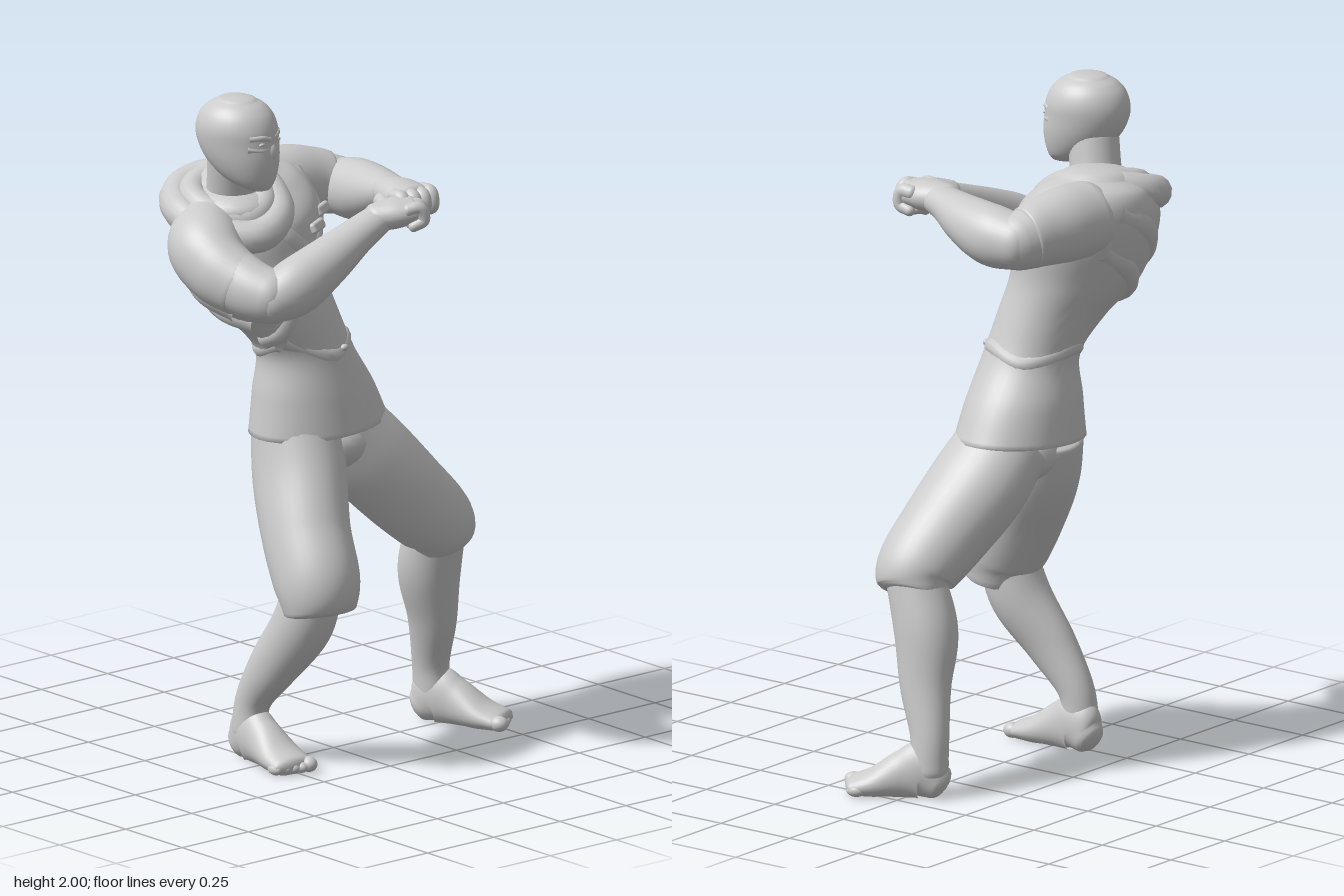
import * as THREE from 'three';
import { RoundedBoxGeometry } from 'three/addons/geometries/RoundedBoxGeometry.js';

const mat = new THREE.MeshStandardMaterial({ color: 0xcccccc, roughness: 0.8 });
const V = (x, y, z) => new THREE.Vector3(x, y, z);
const RING = 36;

function add(parent, name, geo) {
  const m = new THREE.Mesh(geo, mat);
  m.name = name;
  parent.add(m);
  return m;
}

// Closed skin over rings { c, u, v }, with rounded ends of height cap0 and cap1.
function skin(rings, cap0, cap1, floor = false) {
  const all = [];
  const first = rings[0], last = rings[rings.length - 1];
  const axis = r => V().crossVectors(r.u, r.v).normalize();
  const capRing = (r, k, h) => {
    const a = k * Math.PI / 2;
    const s = Math.max(Math.cos(a), 0.002);
    return { c: r.c.clone().addScaledVector(axis(r), h * Math.sin(a)), u: r.u.clone().multiplyScalar(s), v: r.v.clone().multiplyScalar(s) };
  };
  for (let k = 5; k > 0; k--) all.push(capRing(first, k / 5, -cap0));
  all.push(...rings);
  for (let k = 1; k <= 5; k++) all.push(capRing(last, k / 5, cap1));
  const pos = [], idx = [];
  all.forEach((r, i) => {
    for (let j = 0; j < RING; j++) {
      const a = j / RING * Math.PI * 2;
      const p = r.c.clone().addScaledVector(r.u, Math.cos(a)).addScaledVector(r.v, Math.sin(a));
      pos.push(p.x, floor ? Math.max(0, p.y) : p.y, p.z);
      if (i === all.length - 1) continue;
      const q = i * RING + j, n = i * RING + (j + 1) % RING;
      idx.push(q, n, n + RING, q, n + RING, q + RING);
    }
  });
  const g = new THREE.BufferGeometry();
  g.setAttribute('position', new THREE.Float32BufferAttribute(pos, 3));
  g.setIndex(idx);
  g.computeVertexNormals();
  return g;
}

const curve = pts => new THREE.CatmullRomCurve3(pts, false, 'catmullrom', 0.5);

// Limb through points [x, y, z, radius across, radius along ref].
function limb(pts, ref = V(0, 0, 1), cap0 = 0.04, cap1 = 0.04, floor = false) {
  const path = curve(pts.map(p => V(p[0], p[1], p[2])));
  const size = curve(pts.map(p => V(p[3], p[4], 0)));
  const rings = [], n = (pts.length - 1) * 7;
  for (let i = 0; i <= n; i++) {
    const t = path.getTangent(i / n), s = size.getPoint(i / n);
    const v = ref.clone().addScaledVector(t, -ref.dot(t)).normalize();
    const u = V().crossVectors(v, t).multiplyScalar(s.x);
    rings.push({ c: path.getPoint(i / n), u, v: v.multiplyScalar(s.y) });
  }
  return skin(rings, cap0, cap1, floor);
}

function tube(pts, r, closed = false) {
  return new THREE.TubeGeometry(new THREE.CatmullRomCurve3(pts, closed), pts.length * 8, r, 14, closed);
}

function ball(parent, name, p, s) {
  const m = add(parent, name, new THREE.SphereGeometry(1, 24, 16));
  m.position.set(...p);
  m.scale.set(...s);
  return m;
}

// Tunic sections: x, y, z, half width, half depth, yaw, roll.
const TORSO = [
  [-0.035, 0.975, -0.03, 0.22, 0.17, 0, 0.06],
  [-0.055, 1.09, -0.03, 0.187, 0.157, 0.03, 0.03],
  [-0.087, 1.21, -0.03, 0.147, 0.138, 0.1, 0],
  [-0.147, 1.32, -0.055, 0.168, 0.153, 0.2, 0.05],
  [-0.205, 1.42, -0.092, 0.21, 0.182, 0.3, 0.1],
  [-0.213, 1.53, -0.122, 0.23, 0.2, 0.35, 0.13],
  [-0.213, 1.63, -0.142, 0.23, 0.202, 0.38, 0.14],
  [-0.21, 1.7, -0.165, 0.185, 0.16, 0.38, 0.14],
  [-0.225, 1.735, -0.165, 0.12, 0.105, 0.38, 0.12],
];
const column = (a, b, c) => curve(TORSO.map(s => V(s[a], s[b], s[c])));
const spine = column(0, 1, 2), girth = column(3, 4, 5), lean = column(6, 6, 6);

function torsoRing(t, lift = 0) {
  const g = girth.getPoint(t), roll = lean.getPoint(t).x;
  const u = V(Math.cos(g.z) * Math.cos(roll), Math.sin(roll), -Math.sin(g.z) * Math.cos(roll)).multiplyScalar(g.x + lift);
  return { c: spine.getPoint(t), u, v: V(-Math.sin(g.z), 0, -Math.cos(g.z)).multiplyScalar(g.y + lift) };
}

// Point on the tunic, lifted off it: angle -PI/2 is the front, 0 the left side.
function onTorso(a, t, lift) {
  const r = torsoRing(t, lift);
  return r.c.addScaledVector(r.u, Math.cos(a)).addScaledVector(r.v, Math.sin(a));
}

function buildTorso(root) {
  const g = new THREE.Group();
  g.name = 'torso';
  root.add(g);
  add(g, 'tunic', skin(Array.from({ length: 65 }, (_, i) => torsoRing(i / 64)), 0.01, 0.03));
  ball(g, 'pelvis', [-0.012, 0.93, -0.015], [0.13, 0.093, 0.14]);
  // Wrapped cloth folds: radius, then [angle, height along the torso]
  const folds = [
    [0.035, [-0.5, 0.82], [-0.95, 0.7], [-1.45, 0.58], [-1.95, 0.46], [-2.5, 0.36], [-3.1, 0.32]],
    [0.035, [-2.3, 0.82], [-1.95, 0.7], [-1.6, 0.62], [-1.2, 0.57]],
    [0.045, [0.7, 0.78], [1.3, 0.72], [1.9, 0.62], [2.6, 0.52], [3.3, 0.46]],
    [0.04, [0.6, 0.64], [1.2, 0.57], [1.9, 0.48], [2.7, 0.43], [3.4, 0.4]],
    [0.03, [-2.6, 0.32], [-1.6, 0.25], [-0.6, 0.28], [0.4, 0.25], [1.5, 0.29], [2.6, 0.26], [3.6, 0.31]],
  ];
  for (const [r, ...p] of folds) add(g, 'clothFold', tube(p.map(q => onTorso(q[0], q[1], -r * 0.82)), r));
  ball(g, 'sashKnot', onTorso(-1.35, 0.27, 0.004).toArray(), [0.013, 0.01, 0.01]);
  for (const [a, t] of [[-1.05, 0.71], [-1.4, 0.69]]) {
    const clasp = add(g, 'chestClasp', new RoundedBoxGeometry(0.075, 0.032, 0.02, 3, 0.009));
    clasp.position.copy(onTorso(a, t, 0.006));
    clasp.rotation.set(-0.5, 0.4, 0.25);
  }
  // Cowl lying around the neck
  const cowl = [[-0.43, 1.64, -0.16], [-0.38, 1.665, -0.25], [-0.3, 1.69, -0.28], [-0.22, 1.71, -0.23],
    [-0.18, 1.71, -0.12], [-0.22, 1.64, 0.01], [-0.32, 1.6, 0.04], [-0.41, 1.61, -0.05]].map(p => V(...p));
  add(g, 'cowlOuter', tube(cowl, 0.05, true));
  const mid = V(-0.3, 1.66, -0.11);
  add(g, 'cowlInner', tube(cowl.map(p => p.clone().lerp(mid, 0.3).add(V(0, 0.025, 0))), 0.042, true));
  ball(g, 'cowlCentre', [-0.3, 1.66, -0.12], [0.12, 0.06, 0.15]);
  add(g, 'neck', limb([[-0.28, 1.6, -0.14, 0.085, 0.085], [-0.295, 1.7, -0.105, 0.075, 0.075], [-0.315, 1.82, -0.075, 0.075, 0.075]]));
}

function buildHead(root) {
  const h = new THREE.Group();
  h.name = 'head';
  h.position.set(-0.32, 0, -0.05);
  h.rotation.y = 0.25;
  root.add(h);
  // Level sections: height, z, half width, half depth
  const shape = [[1.738, 0.068, 0.036, 0.042], [1.757, 0.048, 0.061, 0.071], [1.79, 0.028, 0.081, 0.099], [1.83, 0.012, 0.095, 0.118], [1.875, 0, 0.103, 0.126],
    [1.915, -0.003, 0.105, 0.124], [1.95, -0.004, 0.095, 0.11], [1.975, -0.004, 0.076, 0.086], [1.99, -0.004, 0.052, 0.058]];
  const place = curve(shape.map(s => V(0, s[0], s[1]))), size = curve(shape.map(s => V(s[2], 0, s[3])));
  add(h, 'hoodedHead', skin(Array.from({ length: 41 }, (_, i) => {
    const s = size.getPoint(i / 40);
    return { c: place.getPoint(i / 40), u: V(s.x, 0, 0), v: V(0, 0, -s.z) };
  }), 0.008, 0.01));
  ball(h, 'nose', [0, 1.85, 0.112], [0.022, 0.032, 0.022]);
  for (const s of [-1, 1]) {
    ball(h, 'eye', [s * 0.036, 1.88, 0.113], [0.015, 0.006, 0.007]);
    add(h, 'brow', tube([V(s * 0.01, 1.891, 0.118), V(s * 0.038, 1.899, 0.11), V(s * 0.068, 1.898, 0.088)], 0.009));
    add(h, 'maskEdge', tube([V(0, 1.866, 0.12), V(s * 0.035, 1.862, 0.111), V(s * 0.072, 1.867, 0.084)], 0.009));
  }
}

// Fist pointing along dir with the palm down; side puts the thumb.
function buildFist(root, name, at, dir, side, scale) {
  const f = new THREE.Group();
  f.name = name;
  f.position.copy(at);
  f.lookAt(at.clone().add(dir));
  f.scale.setScalar(scale);
  root.add(f);
  add(f, 'palm', limb([[0, 0, -0.05, 0.042, 0.036], [0, 0, 0, 0.055, 0.04], [0, 0, 0.045, 0.058, 0.034]], V(0, 1, 0), 0.03, 0.02));
  for (let i = 0; i < 4; i++) {
    const x = (i - 1.5) * 0.029, b = 0.006 * Math.abs(i - 1.5);
    add(f, 'finger', limb([[x, 0.012, 0.025, 0.017, 0.017], [x, 0.01, 0.066 - b, 0.018, 0.018], [x, -0.022, 0.072 - b, 0.017, 0.017],
      [x, -0.034, 0.035, 0.014, 0.014]], V(1, 0, 0), 0.012, 0.014));
  }
  add(f, 'thumb', limb([[side * 0.045, -0.01, -0.02, 0.02, 0.02], [side * 0.06, -0.018, 0.025, 0.018, 0.018], [side * 0.03, -0.036, 0.058, 0.015, 0.015]], V(0, 1, 0), 0.015, 0.015));
}

function buildArms(root) {
  const up = V(0, 1, 0);
  // Right arm
  add(root, 'rightSleeve', limb([[-0.37, 1.6, -0.12, 0.1, 0.1], [-0.44, 1.568, -0.05, 0.11, 0.112], [-0.46, 1.525, 0.03, 0.095, 0.105],
    [-0.443, 1.487, 0.12, 0.082, 0.092]], up, 0.07, 0.012));
  add(root, 'rightUpperArm', limb([[-0.46, 1.525, 0.03, 0.087, 0.097], [-0.437, 1.485, 0.14, 0.08, 0.089], [-0.41, 1.47, 0.205, 0.076, 0.08]], up, 0.05, 0.06));
  add(root, 'rightForearm', limb([[-0.42, 1.458, 0.205, 0.07, 0.068], [-0.34, 1.495, 0.232, 0.078, 0.085], [-0.23, 1.55, 0.24, 0.07, 0.072],
    [-0.12, 1.605, 0.24, 0.057, 0.053], [-0.04, 1.64, 0.24, 0.05, 0.043]], up, 0.05, 0.03));
  buildFist(root, 'rightFist', V(0.005, 1.657, 0.262), V(0.88, 0.16, 0.42), 1, 1.12);
  // Left arm
  add(root, 'leftSleeve', limb([[-0.09, 1.645, -0.22, 0.11, 0.11], [0.0, 1.645, -0.212, 0.103, 0.11], [0.08, 1.637, -0.195, 0.088, 0.1], [0.125, 1.628, -0.18, 0.083, 0.092]], up, 0.07, 0.012));
  add(root, 'leftUpperArm', limb([[0.03, 1.64, -0.205, 0.085, 0.092], [0.1, 1.63, -0.188, 0.082, 0.092], [0.15, 1.62, -0.165, 0.08, 0.085]], up, 0.04, 0.07));
  add(root, 'leftForearm', limb([[0.152, 1.618, -0.175, 0.078, 0.08], [0.155, 1.625, -0.08, 0.085, 0.09], [0.137, 1.645, 0.02, 0.077, 0.075],
    [0.112, 1.668, 0.11, 0.06, 0.053], [0.095, 1.678, 0.17, 0.054, 0.044]], up, 0.06, 0.03));
  buildFist(root, 'leftFist', V(0.088, 1.68, 0.195), V(-0.02, 0, 1), -1, 1.2);
}

function buildFoot(root, name, x, z, yaw, side) {
  const f = new THREE.Group();
  f.name = name;
  f.position.set(x, 0, z);
  f.rotation.y = yaw;
  root.add(f);
  add(f, 'footBody', limb([[0, 0.042, -0.03, 0.047, 0.055], [0, 0.07, 0.012, 0.053, 0.092], [0, 0.06, 0.07, 0.056, 0.072],
    [0, 0.034, 0.15, 0.068, 0.045], [0, 0.022, 0.212, 0.068, 0.03]], V(0, 1, 0), 0.03, 0.022, true));
  for (let i = 0; i < 5; i++) {
    const r = i ? 0.018 : 0.023;
    ball(f, 'toe', [side * (-0.045 + i * 0.0245), r, 0.226 - i * 0.007], [r * 1.05, r, 0.028]);
  }
}

function buildLegs(root) {
  const z = V(0, 0, 1);
  // Breeches gathered below the knee
  add(root, 'rightBreeches', limb([[-0.115, 0.98, -0.03, 0.125, 0.14], [-0.138, 0.85, 0.01, 0.126, 0.148], [-0.178, 0.7, 0.085, 0.123, 0.137],
    [-0.2, 0.57, 0.16, 0.122, 0.13], [-0.203, 0.485, 0.178, 0.108, 0.1]], z, 0.02, 0.015));
  add(root, 'leftBreeches', limb([[0.025, 0.975, -0.025, 0.12, 0.14], [0.12, 0.86, 0, 0.132, 0.15], [0.225, 0.74, 0.04, 0.127, 0.138],
    [0.32, 0.64, 0.068, 0.114, 0.122], [0.353, 0.58, 0.062, 0.09, 0.1]], z, 0.02, 0.015));
  // Bare calves
  add(root, 'rightCalf', limb([[-0.2, 0.56, 0.15, 0.085, 0.085], [-0.213, 0.43, 0.108, 0.088, 0.09], [-0.235, 0.3, 0.015, 0.067, 0.078],
    [-0.243, 0.18, -0.068, 0.05, 0.056], [-0.247, 0.08, -0.085, 0.048, 0.057]], z));
  add(root, 'leftCalf', limb([[0.34, 0.62, 0.06, 0.085, 0.085], [0.352, 0.47, 0.01, 0.087, 0.096], [0.38, 0.32, -0.01, 0.065, 0.08],
    [0.403, 0.18, -0.043, 0.051, 0.06], [0.41, 0.08, -0.045, 0.05, 0.06]], z));
  buildFoot(root, 'rightFoot', -0.242, -0.088, -0.08, -1);
  buildFoot(root, 'leftFoot', 0.41, -0.04, 0.45, 1);
}

export function createModel() {
  const root = new THREE.Group();
  root.name = 'fighter';
  buildTorso(root);
  buildHead(root);
  buildArms(root);
  buildLegs(root);
  return root;
}
